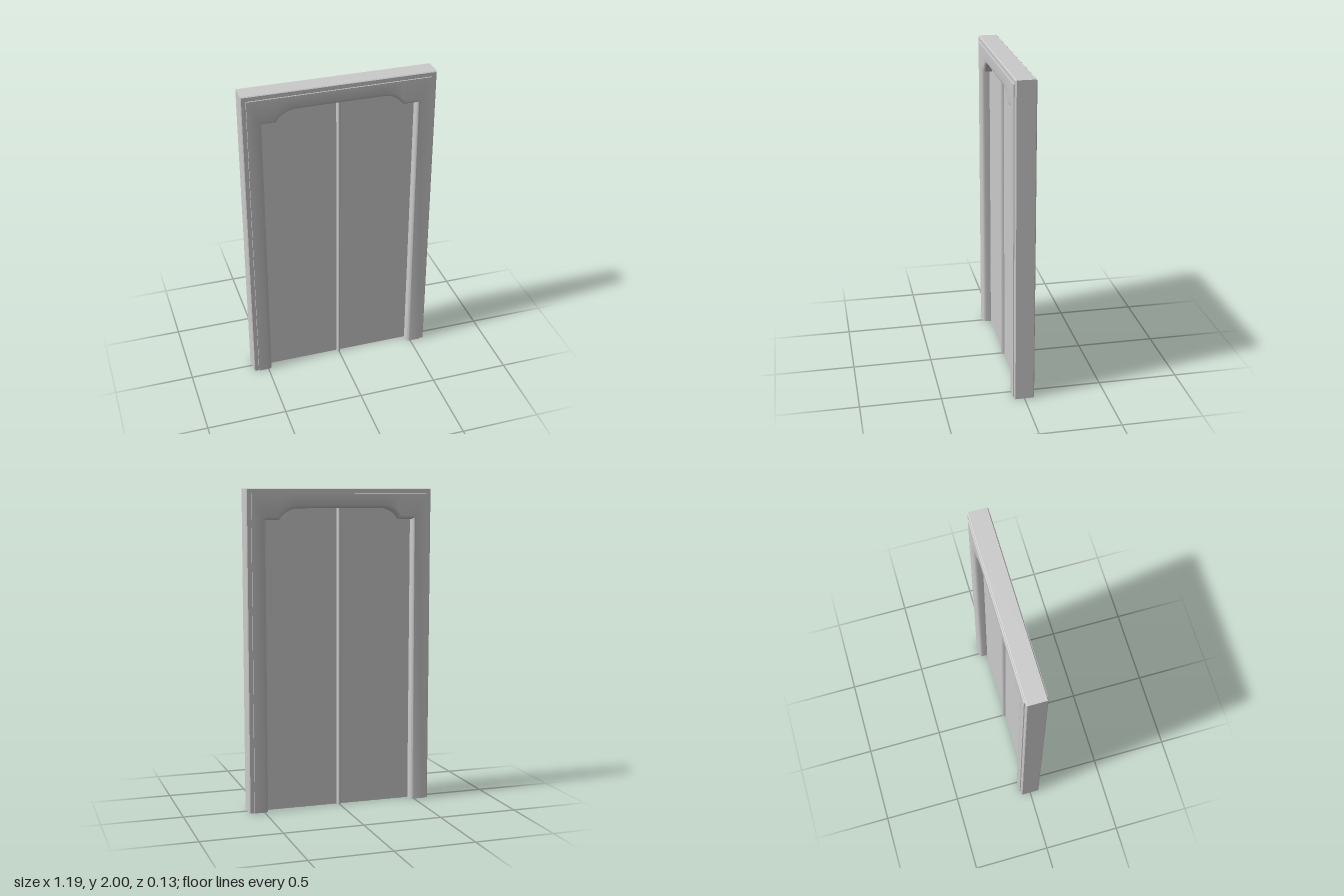
import * as THREE from 'three';
import { toCreasedNormals } from 'three/addons/utils/BufferGeometryUtils.js';

const W = 0.595, H = 2;          // outer half width and height
const PANEL_Z = 0.012;           // half thickness of the door leaves

// Half of the opening outline: x, y and the direction leading into the frame
const OPENING = [
  [0.475, 0, 1, 0],
  [0.475, 1.81, 1, 1],
  [0.391, 1.81, 0.4, 1],
  [0.368, 1.838, 0.75, 0.7],
  [0.345, 1.857, 0.55, 0.85],
  [0.31, 1.874, 0.3, 0.95],
  [0.27, 1.88, 0.1, 1],
];

// Complete a half outline with its mirror image
const mirror = (half) => [...half, ...half.map(([x, y]) => [-x, y]).reverse()];

// Outline running parallel to the outer edge, moved inward by d
const outerPath = (d) => mirror(OPENING.map(([x], i) =>
  [i < 2 ? W - d : x, i === 0 ? 0 : H - d]));

// Outline running parallel to the opening, moved into the frame by e
const innerPath = (e) => mirror(OPENING.map(([x, y, nx, ny]) => [x + nx * e, y + ny * e]));

// Cross-section of the front half, from the leaf to the outer side
function frontStations() {
  const list = [{ path: innerPath(0), z: PANEL_Z - 0.004 }];
  const r = 0.022;
  for (let i = 0; i <= 4; i++) {
    const a = (i / 4) * Math.PI / 2;
    list.push({ path: innerPath(r * (1 - Math.cos(a))), z: 0.067 - r + r * Math.sin(a) });
  }
  list.push(
    { path: outerPath(0.031), z: 0.067 },
    { path: outerPath(0.03), z: 0.061 },
    { path: outerPath(0.005), z: 0.061 },
    { path: outerPath(0), z: 0.056 },
  );
  return list;
}

// Hollow frame shell, open at the floor
function frameGeometry() {
  const front = frontStations();
  const stations = [...front, ...front.map((s) => ({ path: s.path, z: -s.z })).reverse()];
  const n = stations[0].path.length;
  const position = [], index = [];
  stations.forEach(({ path, z }) => path.forEach(([x, y]) => position.push(x, y, z)));
  for (let s = 0; s < stations.length - 1; s++) {
    for (let i = 0; i < n - 1; i++) {
      const a = s * n + i, b = a + 1, c = a + n, d = c + 1;
      index.push(a, c, b, b, c, d);
    }
  }
  const geometry = new THREE.BufferGeometry();
  geometry.setAttribute('position', new THREE.Float32BufferAttribute(position, 3));
  geometry.setIndex(index);
  return toCreasedNormals(geometry, 0.7);
}

export function createModel() {
  const group = new THREE.Group();
  group.name = 'doubleDoor';
  const solid = new THREE.MeshStandardMaterial({ color: 0xcccccc });
  const shell = new THREE.MeshStandardMaterial({ color: 0xcccccc, side: THREE.DoubleSide });

  const add = (name, geometry, material) => {
    const mesh = new THREE.Mesh(geometry, material);
    mesh.name = name;
    group.add(mesh);
    return mesh;
  };

  add('doorFrame', frameGeometry(), shell);

  // Two leaves meeting at the middle, their tops hidden in the frame header
  for (const side of [1, -1]) {
    const leaf = add(side > 0 ? 'leftLeaf' : 'rightLeaf',
      new THREE.BoxGeometry(0.48, 1.89, PANEL_Z * 2), solid);
    leaf.position.set(side * 0.24, 0.945, 0);
  }

  // Rounded strip covering the joint on both faces
  const strip = add('centreStrip', new THREE.CylinderGeometry(1, 1, 1.885, 16), solid);
  strip.scale.set(0.0135, 1, 0.033);
  strip.position.y = 0.9425;

  return group;
}
